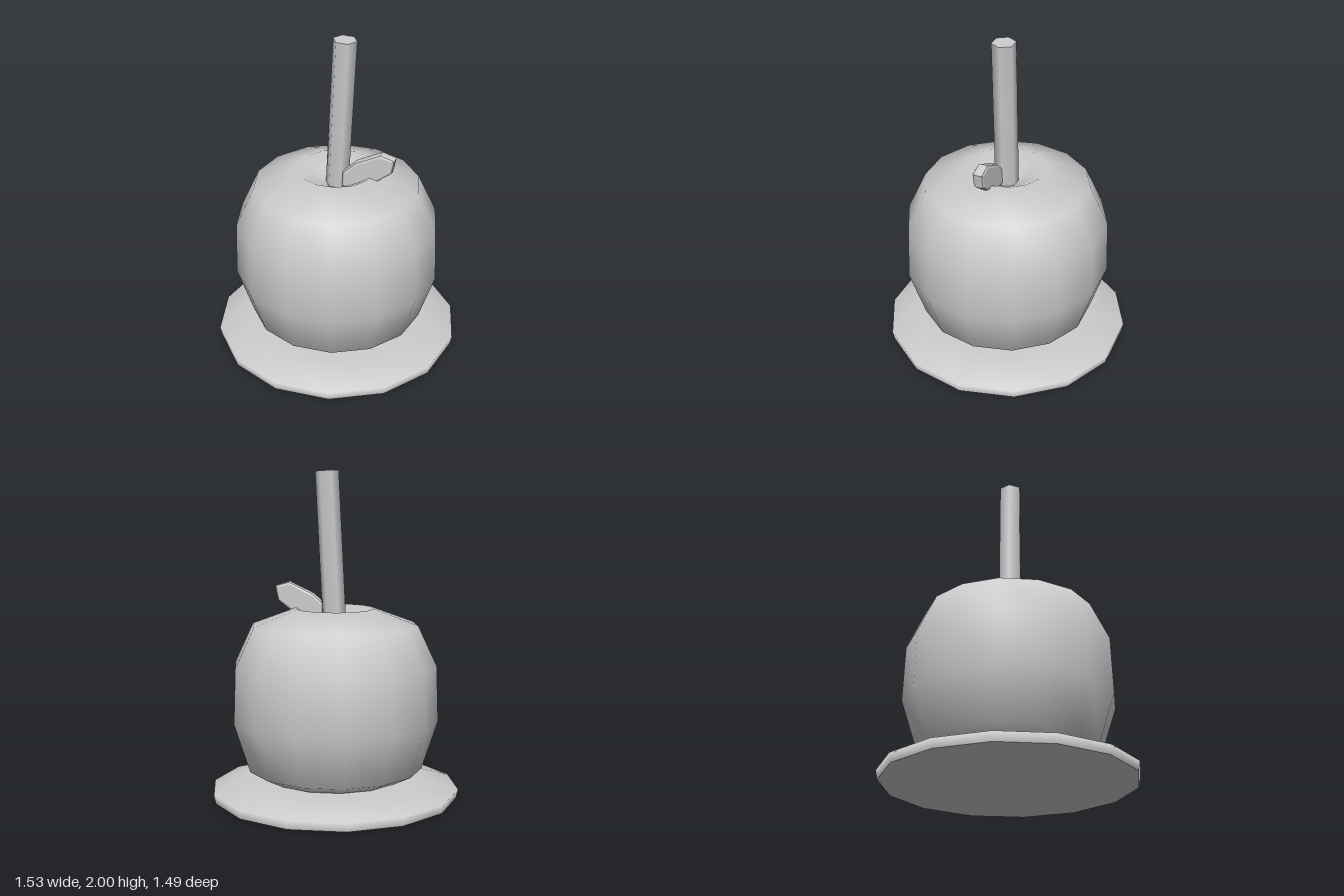
import * as THREE from 'three';

const SIDES = 14;

export function createModel() {
  const group = new THREE.Group();
  const material = new THREE.MeshStandardMaterial({ color: 0xcccccc });

  const add = (name, geometry) => {
    const mesh = new THREE.Mesh(geometry, material);
    mesh.name = name;
    group.add(mesh);
    return mesh;
  };

  // Low-poly turned shape with corners on the x axis; a repeated point makes a sharp edge
  const turned = (profile) => new THREE.LatheGeometry(
    profile.map(([r, y]) => new THREE.Vector2(r, y)), SIDES, Math.PI / 2);

  // Flat pool of coating under the apple
  add('base', turned([
    [0, 0], [0.755, 0], [0.755, 0], [0.766, 0.055], [0.54, 0.12], [0, 0.12],
  ]));

  // Apple body with a dimple on top
  add('apple', turned([
    [0, 0.06], [0.3, 0.08], [0.43, 0.125], [0.54, 0.18], [0.637, 0.48], [0.625, 0.82],
    [0.51, 1.065], [0.24, 1.165], [0.08, 1.07], [0, 1.05],
  ]));

  // Six-sided stick, leaning slightly to the side
  const lean = 0.05;
  const length = 1.0;
  const stickGeometry = new THREE.CylinderGeometry(0.072, 0.072, length, 6, 1, false, Math.PI / 2);
  stickGeometry.translate(0, -length / 2, 0);
  const stick = add('stick', stickGeometry);
  stick.position.set(0.048, 1.996, 0);
  stick.rotation.z = -lean;

  // Thick leaf with a bevelled rim, set in front of the stick
  const outline = [
    [0.06, 1.09], [0.17, 1.1], [0.275, 1.165], [0.34, 1.215], [0.355, 1.287],
    [0.285, 1.308], [0.14, 1.237], [0.065, 1.165],
  ].map(([x, y]) => new THREE.Vector2(x, y));
  const leafGeometry = new THREE.ExtrudeGeometry(new THREE.Shape(outline), {
    depth: 0.027, bevelEnabled: true, bevelThickness: 0.02, bevelSize: 0.015, bevelSegments: 2,
  });
  leafGeometry.translate(0, 0, 0.02);
  add('leaf', leafGeometry);

  return group;
}
